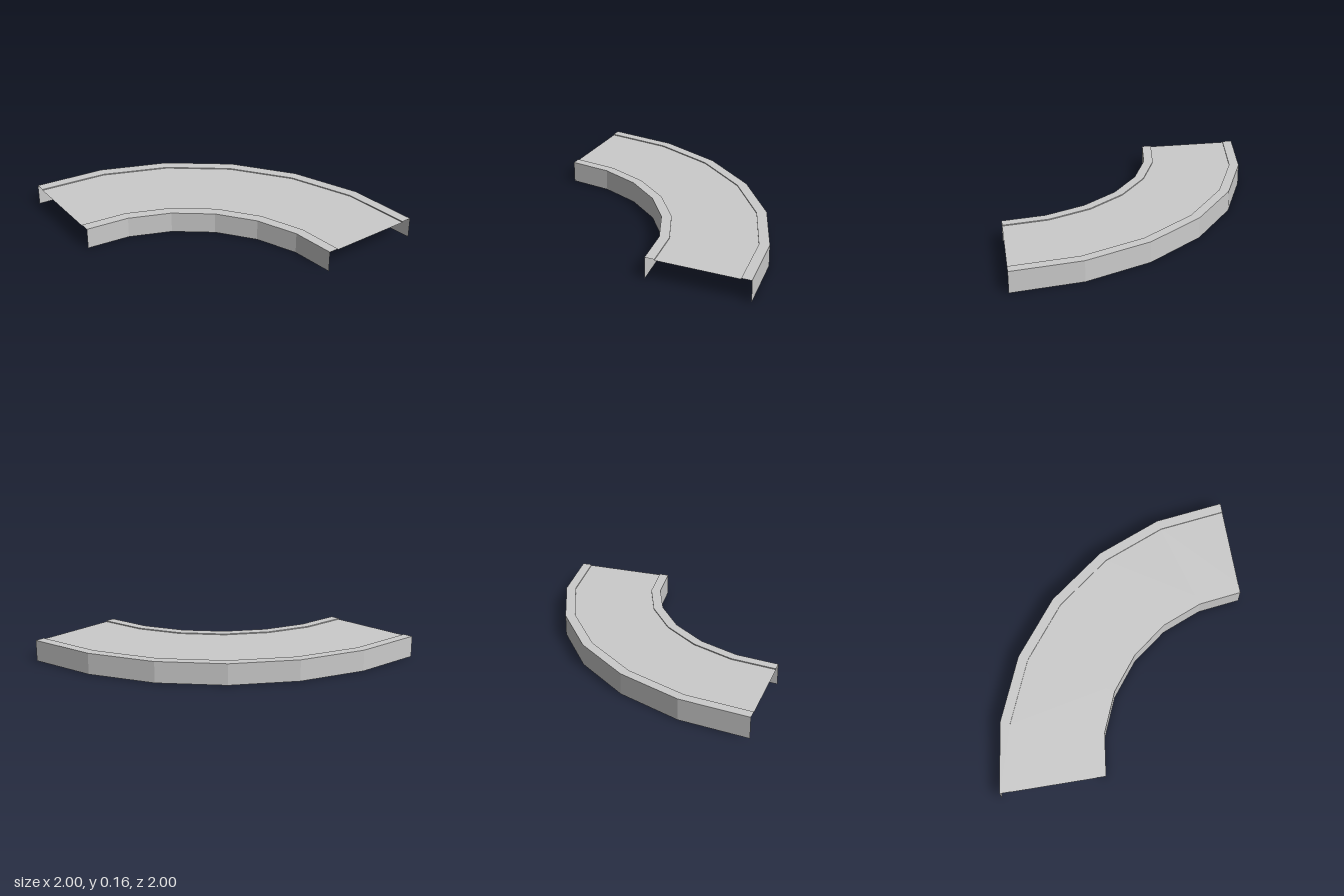
import * as THREE from 'three';

const SEGMENTS = 6; // flat facets in the quarter turn
const KERB_TOP = 0.161, ROAD_TOP = 0.154;
const OUTER = 2, OUTER_KERB = 1.925, INNER_KERB = 1.308, INNER = 1.235;

const material = new THREE.MeshStandardMaterial({
  color: 0xcccccc, flatShading: true, side: THREE.DoubleSide,
});

// Sweep a [radius, height] profile through the quarter turn around the bend's centre
function sweep(name, profile) {
  const points = profile.map(([r, y]) => new THREE.Vector2(r, y));
  const geometry = new THREE.LatheGeometry(points, SEGMENTS, Math.PI, Math.PI / 2);
  geometry.translate(1, 0, 1);
  const mesh = new THREE.Mesh(geometry, material);
  mesh.name = name;
  return mesh;
}

export function createModel() {
  const group = new THREE.Group();
  group.name = 'curvedRoad';
  group.add(
    // Outer side wall, kerb top and small step down to the road
    sweep('outerKerb', [[OUTER, 0], [OUTER, KERB_TOP], [OUTER_KERB, KERB_TOP], [OUTER_KERB, ROAD_TOP]]),
    // Thin road deck, open underneath
    sweep('roadSurface', [[OUTER_KERB, ROAD_TOP], [INNER_KERB, ROAD_TOP]]),
    // Step up, kerb top and inner side wall
    sweep('innerKerb', [[INNER_KERB, ROAD_TOP], [INNER_KERB, KERB_TOP], [INNER, KERB_TOP], [INNER, 0]]),
  );
  return group;
}
